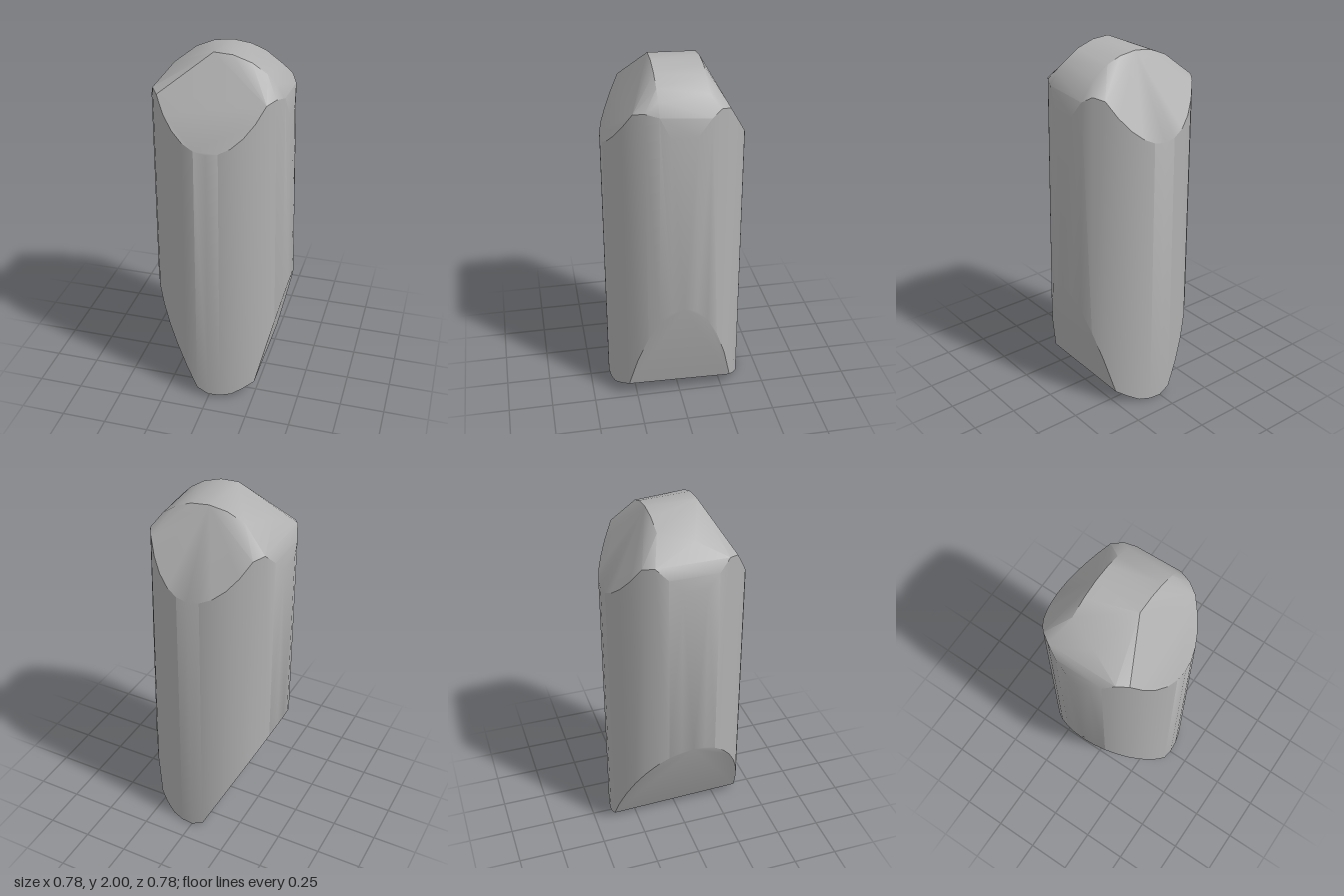
import * as THREE from 'three';
import { ConvexGeometry } from 'three/addons/geometries/ConvexGeometry.js';
import { toCreasedNormals } from 'three/addons/utils/BufferGeometryUtils.js';

const R = 0.39;
const SEGMENTS = 36;

// Height of the rounded crown across x
const dome = (x) => 1.61 + Math.sqrt(Math.max(0, R * R - x * x));
// Height of the front and back chisel slopes across z
const chisel = (z) => 2 - (Math.abs(z) - 0.13) * 1.73;
// Height of the lower cuts: left slope, right slope, bevel and flat base
const base = (x) => Math.max(
  0.68 - 2 * (x + R),
  0.68 + 4.29 * (x - R),
  0.02 + 0.545 * (x - 0.14),
  0.005,
);

export function createModel() {
  const group = new THREE.Group();
  group.name = 'chiselledCapsule';
  const grey = new THREE.MeshStandardMaterial({ color: 0xb0b0b0 });
  grey.name = 'grey';

  const points = [];
  const add = (x, y, z) => points.push(new THREE.Vector3(x, y, z));

  // Round wall, trimmed by the slopes above and below
  for (let i = 0; i < SEGMENTS; i++) {
    const a = (i / SEGMENTS) * Math.PI * 2;
    const x = R * Math.cos(a);
    const z = R * Math.sin(a);
    add(x, base(x) + 0.01 * (z / R) - 0.005 * (1 - Math.abs(z / R)) - 0.005 + 0.005, z);
    add(x > 0 ? x * 0.93 : x, Math.min(dome(x), chisel(z)), z);
  }

  // Crown strip: back edge, shorter front edge and the left corner
  for (const x of [-0.2, -0.1, 0, 0.1, 0.18, 0.27, 0.345]) add(x, dome(x) - 0.02, -0.142);
  for (const x of [-0.03, 0.07, 0.17, 0.25, 0.3, 0.345]) add(x, dome(x), 0.125);
  add(-0.27, 1.89, 0.03);

  // Closed skin, smooth except at the strong ridges
  const body = new THREE.Mesh(toCreasedNormals(new ConvexGeometry(points), 0.55), grey);
  body.name = 'body';

  // Stand the body on the ground
  body.geometry.computeBoundingBox();
  body.geometry.translate(0, -body.geometry.boundingBox.min.y, 0);
  group.add(body);
  return group;
}
